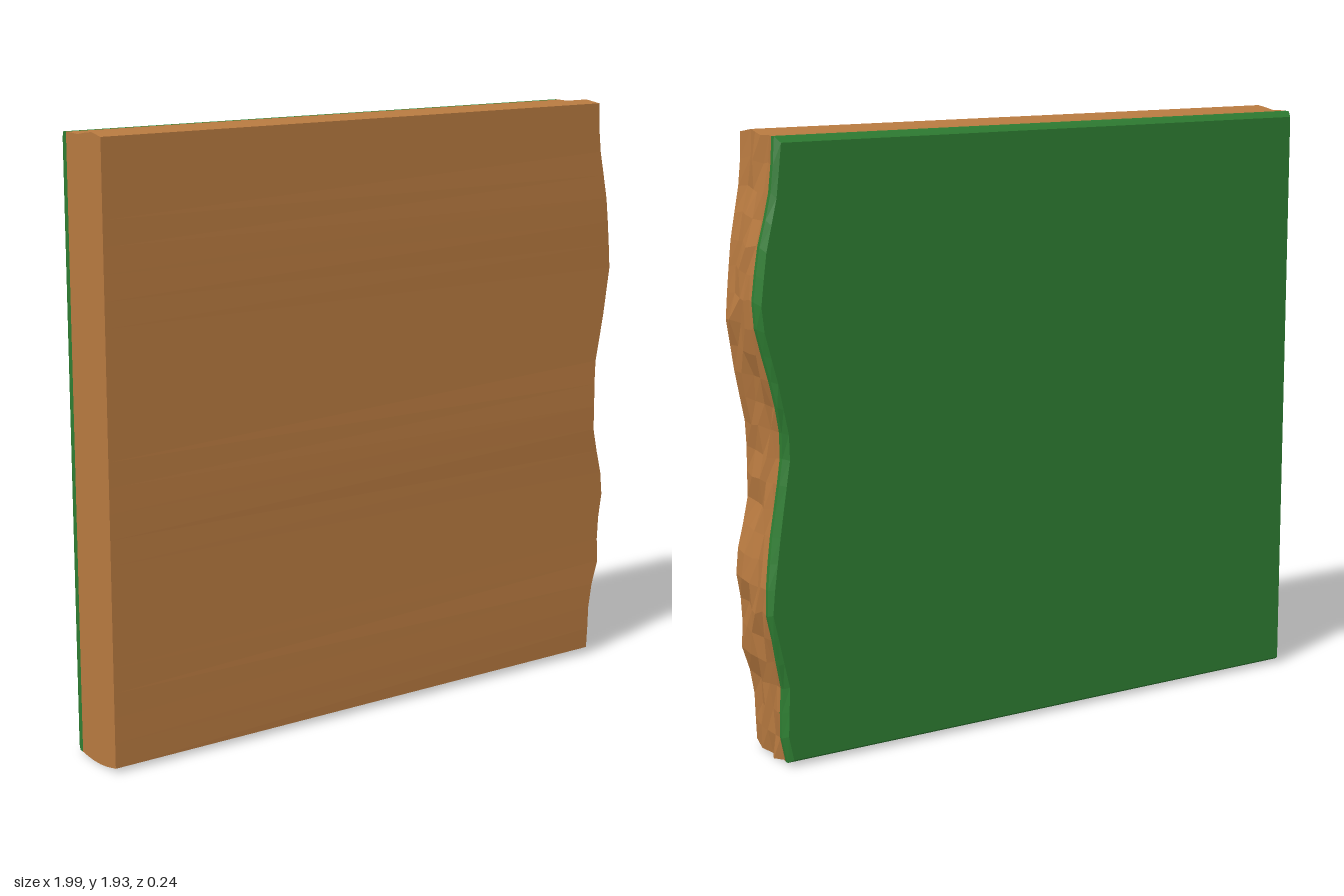
import * as THREE from 'three';

// Outline of the broken edge as [y, x] pairs: soil face and turf face
const FRONT = [[0, 0.91], [0.22, 0.915], [0.32, 0.955], [0.45, 0.948], [0.6, 0.972], [0.8, 0.92],
  [1.02, 0.92], [1.2, 0.955], [1.37, 0.98], [1.6, 0.955], [1.8, 0.92], [1.93, 0.915]];
const BACK = [[0, 0.91], [0.1, 0.93], [0.25, 0.922], [0.5, 0.975], [0.75, 0.94], [1, 0.9],
  [1.2, 0.94], [1.4, 0.992], [1.58, 0.97], [1.75, 0.93], [1.93, 0.91]];

// Columns through the thickness: depth, bottom height, top height, inset
const SOIL = [[0.112, 0.014, 1.92, 0], [0.06, 0.004, 1.93, 0], [0.02, 0, 1.925, 0],
  [-0.02, 0, 1.918, 0], [-0.06, 0.004, 1.92, 0], [-0.086, 0.008, 1.92, 0]];
const TURF = [[-0.086, 0.008, 1.92, 0], [-0.102, 0.009, 1.92, 0], [-0.12, 0.02, 1.902, 0.015]];
const ROWS = 24;

function sample(line, y) {
  let i = 1;
  while (i < line.length - 1 && y > line[i][0]) i++;
  const [a, b] = [line[i - 1], line[i]];
  return THREE.MathUtils.lerp(a[1], b[1], THREE.MathUtils.clamp((y - a[0]) / (b[0] - a[0]), 0, 1));
}

// Repeatable noise in -1..1
function noise(i, j) {
  const s = Math.sin(i * 127.1 + j * 311.7) * 43758.5453;
  return (s - Math.floor(s)) * 2 - 1;
}

// Point on the ragged end of a column
function edgePoint([z, low, high, inset], row) {
  const t = row / ROWS;
  const isEnd = row === 0 || row === ROWS;
  const y = THREE.MathUtils.lerp(low, high, t);
  const depth = (0.112 - z) / 0.232;
  const isInner = z < 0.1 && z > -0.08;
  let x = THREE.MathUtils.lerp(sample(FRONT, y), sample(BACK, y), depth) - inset;
  if (isInner) x += 0.011 * noise(row, Math.round(z * 100));
  // the seam between soil and turf wanders
  let dz = 0;
  if (!isEnd && z < -0.08 && z > -0.11) dz = 0.008 * Math.sin(y * 9 + 1) + 0.003 * noise(row, 3);
  else if (!isEnd && isInner) dz = 0.009 * noise(row + 40, Math.round(z * 100));
  else if (z > 0.1) dz = 0.004 * Math.max(0, Math.sin(y * 9));
  // the slab widens slightly upwards and its foot rises towards the broken end
  const lift = isEnd ? (t === 0 ? Math.max(0, z) * 0.08 : 0.003) : 0.006 * noise(row, 7 + Math.round(z * 100)) * (isInner ? 1 : 0);
  return new THREE.Vector3(x, y + lift, z + dz);
}

// Point on the straight cut end of a column
function cutPoint([z, low, high, inset], row) {
  return new THREE.Vector3(-1 + inset * 0.5, THREE.MathUtils.lerp(low, high, row / ROWS), z);
}

function layer(name, columns, color) {
  const positions = [];
  const quad = (a, b, c, d) => [a, b, c, a, c, d].forEach((p) => positions.push(p.x, p.y, p.z));
  const last = columns.length - 1;
  for (let j = 0; j < ROWS; j++) {
    // ragged end and cut end
    for (let i = 0; i < last; i++) {
      const [p, q] = [columns[i], columns[i + 1]];
      quad(edgePoint(p, j), edgePoint(q, j), edgePoint(q, j + 1), edgePoint(p, j + 1));
      quad(cutPoint(q, j), cutPoint(p, j), cutPoint(p, j + 1), cutPoint(q, j + 1));
    }
    // broad faces
    const [f, b] = [columns[0], columns[last]];
    quad(cutPoint(f, j), edgePoint(f, j), edgePoint(f, j + 1), cutPoint(f, j + 1));
    quad(edgePoint(b, j), cutPoint(b, j), cutPoint(b, j + 1), edgePoint(b, j + 1));
  }
  // top and bottom
  for (let i = 0; i < last; i++) {
    const [p, q] = [columns[i], columns[i + 1]];
    quad(cutPoint(p, ROWS), edgePoint(p, ROWS), edgePoint(q, ROWS), cutPoint(q, ROWS));
    quad(cutPoint(q, 0), edgePoint(q, 0), edgePoint(p, 0), cutPoint(p, 0));
  }
  const geometry = new THREE.BufferGeometry();
  geometry.setAttribute('position', new THREE.Float32BufferAttribute(positions, 3));
  geometry.computeVertexNormals();
  const mesh = new THREE.Mesh(geometry, new THREE.MeshStandardMaterial({ color, flatShading: true }));
  mesh.name = name;
  return mesh;
}

export function createModel() {
  const group = new THREE.Group();
  group.name = 'groundSlab';
  group.add(layer('soil', SOIL, 0xb87a40), layer('grass', TURF, 0x2e7d32));
  return group;
}
